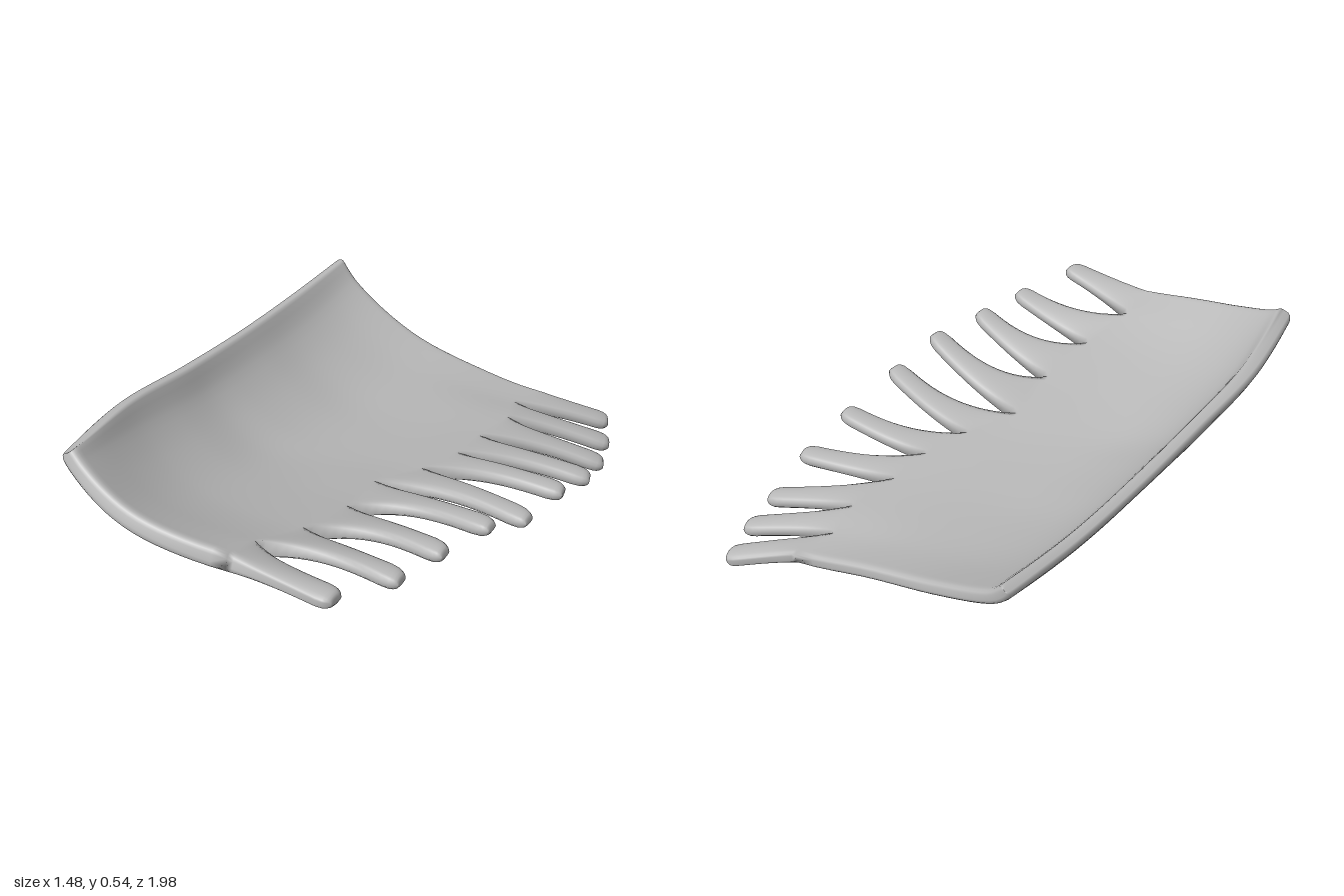
import * as THREE from 'three';

const V = (x, y, z) => new THREE.Vector3(x, y, z);
const curve = (pts) => new THREE.SplineCurve(pts.map(([x, y]) => new THREE.Vector2(x, y)));

// plan curves as [x, z], from the back of the comb to the front
const spine = curve([[-0.725, -0.575], [-0.64, -0.26], [-0.545, 0.05], [-0.448, 0.36], [-0.352, 0.67], [-0.19, 0.985]]);
const roots = curve([[0.1, -0.83], [0.1, -0.68], [0.17, -0.57], [0.2, -0.39], [0.24, -0.24], [0.24, -0.07],
  [0.21, 0.12], [0.29, 0.31], [0.33, 0.52], [0.34, 0.71], [0.38, 0.835]]);

// heights from spine to tooth roots, one row per station from back to front
const heights = [
  [0.435, 0.36, 0.285, 0.212, 0.155, 0.1],
  [0.425, 0.33, 0.245, 0.182, 0.15, 0.13],
  [0.437, 0.34, 0.252, 0.188, 0.164, 0.164],
  [0.467, 0.367, 0.285, 0.226, 0.204, 0.204],
  [0.507, 0.425, 0.355, 0.308, 0.291, 0.291],
  [0.54, 0.507, 0.472, 0.437, 0.411, 0.39],
].map((row) => curve(row.map((y, k) => [k / 5, y])));

// teeth, back to front: tip x, y, z and sideways bend
const teeth = [[0.32, 0.025, -0.97, 0], [0.42, 0.03, -0.855, 0], [0.5, 0.045, -0.725, -0.01], [0.58, 0.11, -0.55, -0.02],
  [0.63, 0.18, -0.35, -0.03], [0.7, 0.235, -0.1, -0.04], [0.71, 0.31, 0.085, -0.04], [0.72, 0.33, 0.295, -0.04],
  [0.735, 0.345, 0.485, -0.03], [0.71, 0.39, 0.71, 0]];

// middle surface of the body: w runs spine to teeth, v back to front
function bodyPoint(w, v) {
  const u = Math.pow(w, 1.5);
  const a = spine.getPoint(v), b = roots.getPoint(v);
  const y = curve(heights.map((row, k) => [k / 5, row.getPoint(w).y])).getPoint(v).y;
  return V(a.x + (b.x - a.x) * u, y, a.y + (b.y - a.y) * u + 0.05 * Math.sin(Math.PI * u));
}

// middle surface of tooth i: s runs root to tip, q across from 0 to 1
function toothPoint(i, s, q) {
  const rootMid = bodyPoint(1, (i + 0.5) / 10), root = bodyPoint(1, (i + q) / 10);
  const [x, y, z, bend] = teeth[i];
  const tip = V(x, y, z);
  const dir = tip.clone().sub(rootMid).setY(0).normalize();
  const side = V(-dir.z, 0, dir.x);
  const outer = i === 0 || i === 9;
  const spread = (1 - s) ** (outer ? 2 : 3);
  const end = s > 0.88 ? Math.sqrt(1 - 0.7 * ((s - 0.88) / 0.12) ** 2) : 1;
  const p = rootMid.clone().lerp(tip, s);
  p.addScaledVector(side, bend * Math.sin(Math.PI * Math.pow(s, 0.8)));
  p.addScaledVector(side, (2 * q - 1) * 0.042 * end * (1 - spread));
  p.addScaledVector(root.clone().sub(rootMid), spread);
  p.y = root.y + (tip.y - root.y) * Math.pow(s, 1.2);
  return p;
}

// upward normal of a middle surface
function normalOf(point, u, v) {
  const e = 0.004, low = (t) => Math.max(t - e, 0), high = (t) => Math.min(t + e, 1);
  const du = point(high(u), v).sub(point(low(u), v));
  const dv = point(u, high(v)).sub(point(u, low(v)));
  return dv.cross(du).normalize();
}

// closed slab around a middle surface; the side where parts join stays open and shares its normals
function slab(point, normal, half, us, vs, openSide) {
  const nu = us.length, nv = vs.length, pos = [], idx = [], shared = [];
  for (const sign of [1, -1]) us.forEach((u, i) => vs.forEach((v) => {
    const n = normal(u, v).multiplyScalar(sign);
    if (i === (openSide === 'end' ? nu - 1 : 0)) shared.push([pos.length / 3, n]);
    pos.push(...point(u, v).addScaledVector(n, half(u, v)).toArray());
  }));
  const at = (i, j) => i * nv + j, under = nu * nv;
  for (let i = 0; i < nu - 1; i++) for (let j = 0; j < nv - 1; j++) {
    const a = at(i, j), b = at(i, j + 1), c = at(i + 1, j + 1), d = at(i + 1, j);
    idx.push(a, b, c, a, c, d);
    idx.push(under + a, under + c, under + b, under + a, under + d, under + c);
  }
  const rim = (p, q) => idx.push(p, q, under + q, p, under + q, under + p);
  for (let i = 0; i < nu - 1; i++) {
    rim(at(i, 0), at(i + 1, 0));
    rim(at(i + 1, nv - 1), at(i, nv - 1));
  }
  for (let j = 0; j < nv - 1; j++) {
    if (openSide === 'end') rim(at(0, j + 1), at(0, j));
    else rim(at(nu - 1, j), at(nu - 1, j + 1));
  }
  const g = new THREE.BufferGeometry();
  g.setAttribute('position', new THREE.Float32BufferAttribute(pos, 3));
  g.setIndex(idx);
  g.computeVertexNormals();
  for (const [k, n] of shared) g.attributes.normal.setXYZ(k, n.x, n.y, n.z);
  return g;
}

const steps = (n) => Array.from({ length: n + 1 }, (_, k) => k / n);
const roundEdge = (d, r) => 0.35 + 0.65 * Math.sqrt(1 - (1 - Math.min(d / r, 1)) ** 2);

export function createModel() {
  const group = new THREE.Group();
  const grey = new THREE.MeshStandardMaterial({ color: 0xb8b8b8 });
  grey.name = 'grey';
  const add = (name, geometry) => {
    const m = new THREE.Mesh(geometry, grey);
    m.name = name;
    group.add(m);
  };

  // curved body, thicker toward the front, with rounded edges
  const thick = (v) => 0.024 + 0.008 * v * v;
  const bodyHalf = (w, v) => thick(v) * roundEdge(w, 0.08) * roundEdge(Math.min(v, 1 - v), 0.02);
  const bodyNormal = (w, v) => normalOf(bodyPoint, w, v);
  const across = [0, 0.003, 0.01, ...steps(100).slice(2, -2), 0.99, 0.997, 1];
  add('body', slab(bodyPoint, bodyNormal, bodyHalf, [0, 0.01, 0.03, ...steps(20).slice(1)], across, 'end'));

  // ten tapering teeth whose roots follow the body edge point for point
  teeth.forEach((_, i) => {
    const point = (s, q) => toothPoint(i, s, q);
    const normal = (s, q) => {
      const k = Math.max(0, 1 - s / 0.3);
      return normalOf(point, Math.max(s, 0.05), q).lerp(bodyNormal(1, (i + q) / 10), k * k * (3 - 2 * k)).normalize();
    };
    const half = (s, q) => {
      const v = (i + q) / 10, k = (1 - s) ** 4;
      const oval = 0.35 + 0.65 * Math.sqrt(Math.max(0, 4 * q * (1 - q)));
      return (bodyHalf(1, v) * k + 0.025 * oval * (1 - k)) * roundEdge(1 - s, 0.1);
    };
    const rows = [...steps(16).slice(0, -1), 0.965, 0.985, 1];
    const inRange = across.filter((v) => v > i / 10 + 1e-6 && v < (i + 1) / 10 - 1e-6).map((v) => v * 10 - i);
    add('tooth', slab(point, normal, half, rows, [0, ...inRange, 1], 'start'));
  });

  return group;
}
